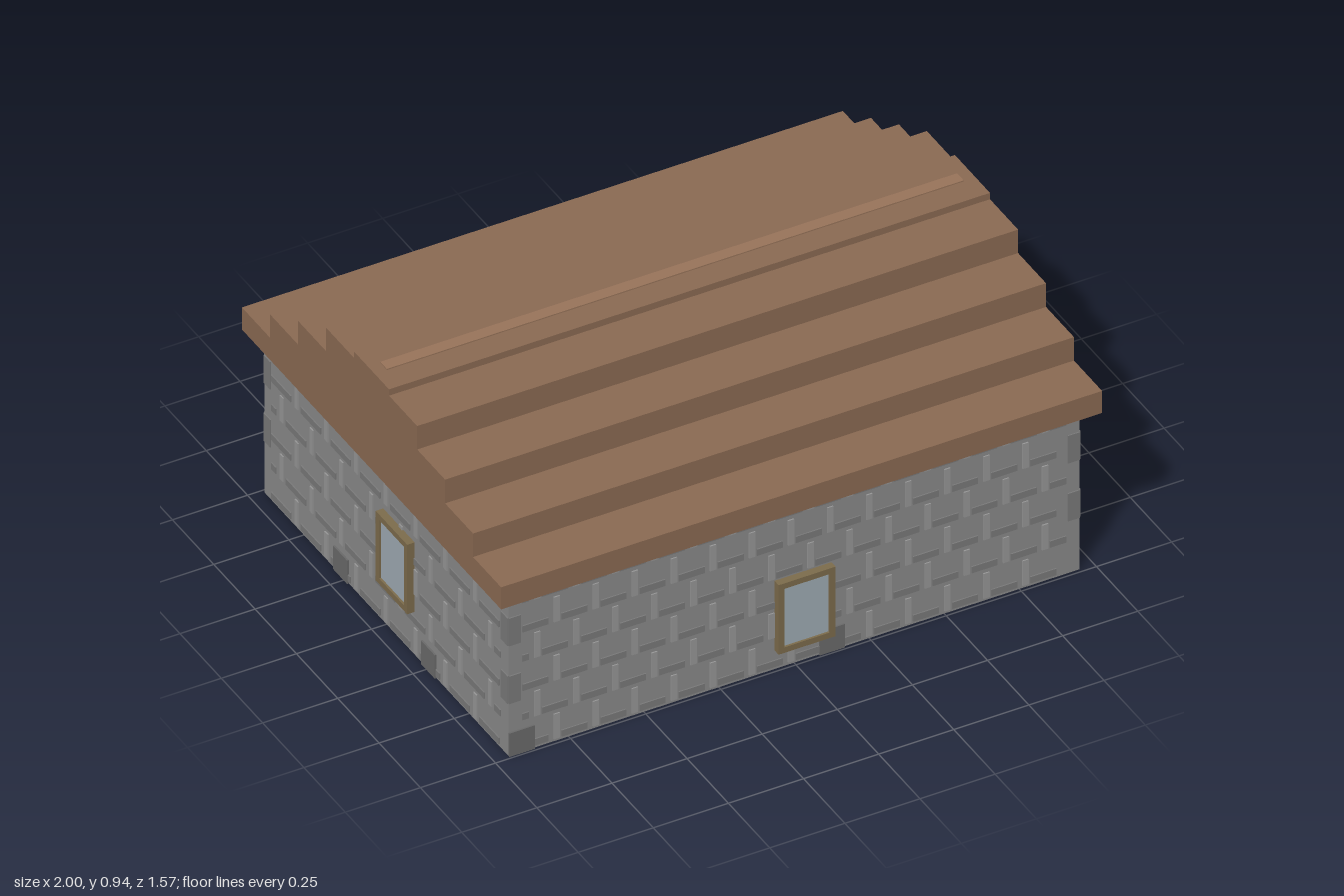
import * as THREE from 'three';
import { mergeGeometries } from 'three/addons/utils/BufferGeometryUtils.js';

const mat = (color) => new THREE.MeshStandardMaterial({ color });
const M = {
  stone: mat(0x8a8a8a), light: mat(0x969696), dark: mat(0x7a7a7a), patch: mat(0x6a6a6a),
  roof: mat(0x8b6a53), ridge: mat(0x98745a), frame: mat(0x7d6c4c), glass: mat(0x9fabb3),
  iron: mat(0x4a5058), flame: mat(0xc08a3e), vine: mat(0x5f8550),
};

// box given by its limits
function box(x0, x1, y0, y1, z0, z1) {
  return new THREE.BoxGeometry(x1 - x0, y1 - y0, z1 - z0)
    .translate((x0 + x1) / 2, (y0 + y1) / 2, (z0 + z1) / 2);
}

function add(parent, name, geometry, material) {
  const mesh = new THREE.Mesh(Array.isArray(geometry) ? mergeGeometries(geometry) : geometry, material);
  mesh.name = name;
  parent.add(mesh);
  return mesh;
}

// framed window on a wall, centred at (u, v)
function addWindow(wall, u, v) {
  const w = 0.095, h = 0.126, b = 0.02;
  const g = new THREE.Group();
  g.name = 'window';
  g.position.set(u, v, 0);
  add(g, 'windowFrame', [
    box(-w, w, h - b, h, 0, 0.025), box(-w, w, -h, -h + b, 0, 0.025),
    box(-w, -w + b, -h + b, h - b, 0, 0.025), box(w - b, w, -h + b, h - b, 0, 0.025),
  ], M.frame);
  add(g, 'windowPane', box(-w + b, w - b, -h + b, h - b, 0, 0.018), M.glass);
  wall.add(g);
}

// one wall's stonework, in its own frame: x along the wall, y up, z outward
function makeWall(name, half, dist, angle, pitch, patches) {
  const wall = new THREE.Group();
  wall.name = name;
  wall.rotation.y = angle;
  wall.position.set(Math.sin(angle) * dist, 0, Math.cos(angle) * dist);
  const shade = [], joints = [], quoins = [];
  const end = half - 0.045, rowHeight = 0.106;
  for (let r = 0; r < 6; r++) {
    const y = 0.01 + r * rowHeight;
    const shift = r % 2 ? pitch / 2 : 0;
    for (let u = -end - pitch + shift; u < end; u += pitch) {
      // shaded course line under each stone, light joint beside it
      const a = Math.max(u, -end), b = Math.min(u + pitch * 0.66, end);
      if (b - a > 0.01) shade.push(box(a, b, y, y + 0.023, 0, 0.004));
      const j = u + pitch * 0.8;
      if (j > -end && j < end - 0.02) joints.push(box(j, j + 0.02, y, Math.min(y + 0.09, 0.575), 0, 0.0045));
    }
  }
  // darker corner stones
  for (const s of [-1, 1]) for (const y of [0.19, 0.4]) {
    const a = s * half, b = s * (half - 0.04);
    quoins.push(box(Math.min(a, b), Math.max(a, b), y, y + 0.1, 0, 0.004));
  }
  add(wall, 'courseLines', shade, M.dark);
  add(wall, 'stoneJoints', joints, M.light);
  add(wall, 'cornerStones', quoins, M.dark);
  add(wall, 'footStones', patches.map((p) => box(p - 0.042, p + 0.042, 0, 0.085, 0, 0.006)), M.patch);
  return wall;
}

// climbing leaves in a narrow staggered strip
function addVine(wall, side, edge) {
  const leaves = [];
  for (let i = 0; i < 10; i++) {
    const a = side * edge, b = side * (edge - (i % 2 ? 0.014 : 0.024));
    leaves.push(box(Math.min(a, b), Math.max(a, b), i * 0.04, i * 0.04 + 0.04, 0, 0.007));
  }
  add(wall, 'vine', leaves, M.vine);
}

export function createModel() {
  const model = new THREE.Group();
  model.name = 'stoneCottage';
  const X = 0.95, Z = 0.738;

  add(model, 'wallBlock', box(-X, X, 0, 0.58, -Z, Z), M.stone);

  // stepped roof: one profile across z, extruded along x
  const depths = [0.784, 0.614, 0.445, 0.276, 0.106];
  const tops = [0.659, 0.744, 0.83, 0.915, 0.938];
  const right = [], left = [];
  let y = 0.579;
  depths.forEach((d, i) => {
    right.push(new THREE.Vector2(d, y), new THREE.Vector2(d, tops[i]));
    left.unshift(new THREE.Vector2(-d, tops[i]), new THREE.Vector2(-d, y));
    y = tops[i];
  });
  const profile = new THREE.Shape([...right, ...left]);
  const roof = new THREE.ExtrudeGeometry(profile, { depth: 2, bevelEnabled: false })
    .translate(0, 0, -1).rotateY(Math.PI / 2);
  add(model, 'steppedRoof', roof, M.roof);
  add(model, 'ridgeStrip', box(-0.96, 0.96, 0.93, 0.942, -0.02, 0.02), M.ridge);

  // four walls
  const front = makeWall('frontWall', X, Z, 0, 0.13, [0.125, -0.908]);
  const leftWall = makeWall('leftWall', Z, X, Math.PI / 2, 0.18, [-0.26, 0.27]);
  const back = makeWall('backWall', X, Z, Math.PI, 0.13, [0.38]);
  const rightWall = makeWall('rightWall', Z, X, -Math.PI / 2, 0.18, [-0.27, 0.26]);
  model.add(front, leftWall, back, rightWall);

  addWindow(front, 0.03, 0.194);
  addWindow(leftWall, 0.028, 0.173);
  addWindow(rightWall, 0.075, 0.281);
  addVine(back, -1, X);
  addVine(leftWall, 1, Z);

  // door with a backing panel
  add(back, 'doorPanel', box(-0.15, 0.13, 0, 0.405, 0, 0.027), M.roof);
  add(back, 'door', box(-0.17, 0.15, 0, 0.425, 0.027, 0.048), M.frame);

  // torches either side of the door
  for (const s of [-1, 1]) {
    const u = -0.01 + s * 0.274;
    const torch = new THREE.Group();
    torch.name = 'torch';
    torch.position.x = u;
    add(torch, 'torchHandle', box(-0.012, 0.012, 0.172, 0.238, 0.024, 0.047), M.iron);
    add(torch, 'torchFlame', box(-0.012, 0.012, 0.238, 0.256, 0.024, 0.047), M.flame);
    back.add(torch);
  }
  return model;
}
